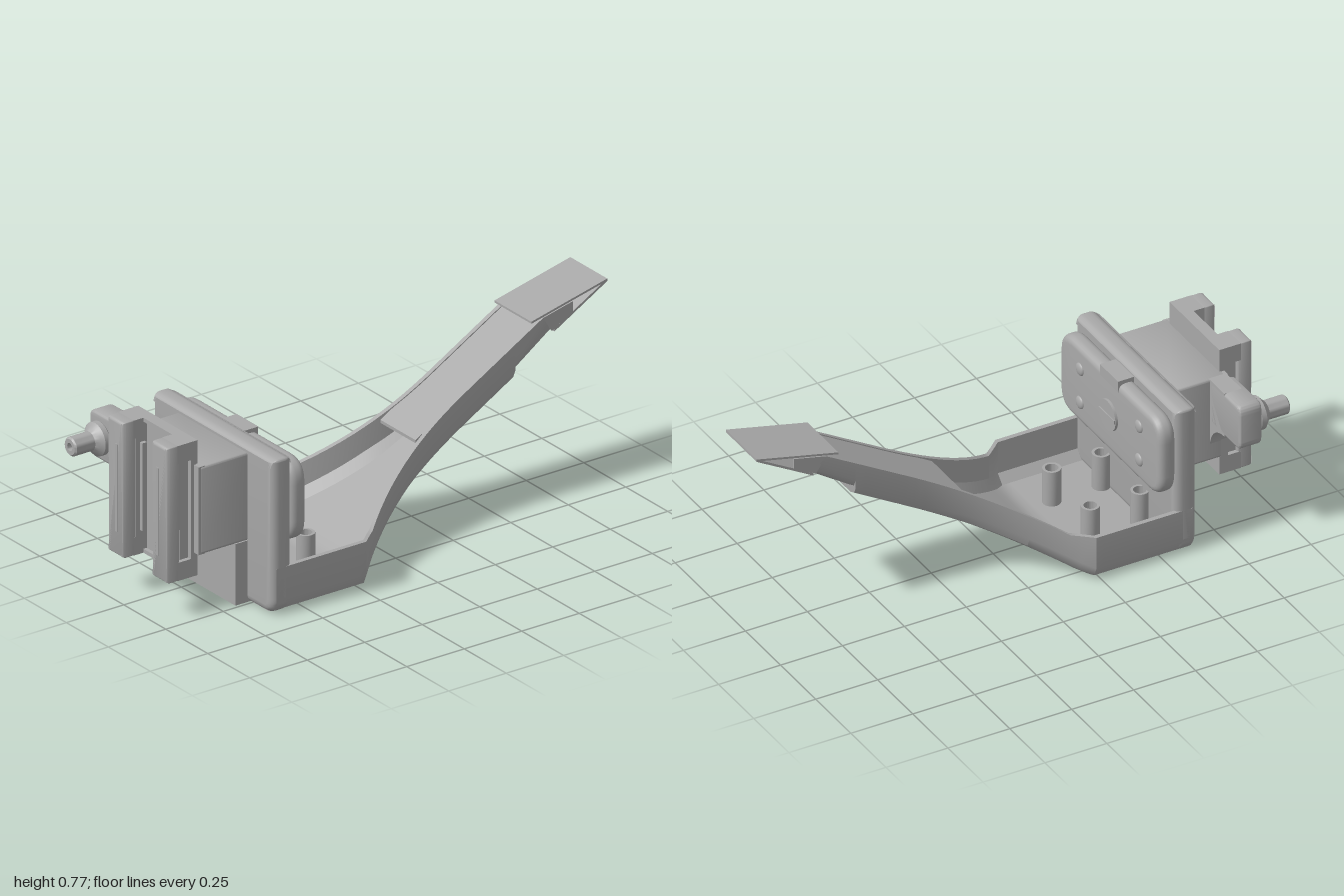
import * as THREE from 'three';
import { toCreasedNormals } from 'three/addons/utils/BufferGeometryUtils.js';

const CX = 0.03; // centre line of the tray and arm

export function createModel() {
  const model = new THREE.Group();
  const grey = new THREE.MeshStandardMaterial({ color: 0xa8a8a8, side: THREE.DoubleSide });
  grey.name = 'plain grey';

  function add(name, geo) {
    const m = new THREE.Mesh(geo, grey);
    m.name = name;
    model.add(m);
    return m;
  }
  function box(name, x0, x1, y0, y1, z0, z1) {
    const g = new THREE.BoxGeometry(x1 - x0, y1 - y0, z1 - z0);
    g.translate((x0 + x1) / 2, (y0 + y1) / 2, (z0 + z1) / 2);
    return add(name, g);
  }
  // rectangle with separate bottom and top corner radii
  function rounded(x0, x1, y0, y1, rb, rt) {
    const s = new THREE.Shape();
    s.moveTo(x0 + rb, y0);
    s.lineTo(x1 - rb, y0);
    s.quadraticCurveTo(x1, y0, x1, y0 + rb);
    s.lineTo(x1, y1 - rt);
    s.quadraticCurveTo(x1, y1, x1 - rt, y1);
    s.lineTo(x0 + rt, y1);
    s.quadraticCurveTo(x0, y1, x0, y1 - rt);
    s.lineTo(x0, y0 + rb);
    s.quadraticCurveTo(x0, y0, x0 + rb, y0);
    return s;
  }
  // shape in x-y pushed from z0 to z1, bevelled inside its outline
  function plate(name, shape, z0, z1, b = 0) {
    const g = new THREE.ExtrudeGeometry(shape, {
      depth: z1 - z0 - 2 * b, bevelEnabled: b > 0, bevelSize: b, bevelThickness: b,
      bevelOffset: -b, bevelSegments: 4, curveSegments: 10,
    });
    g.translate(0, 0, z0 + b);
    return add(name, toCreasedNormals(g, 0.6));
  }
  // side profile of [z, y] points pushed across x
  function sideProfile(name, pts, x0, x1) {
    const s = new THREE.Shape(pts.map(p => new THREE.Vector2(p[0], p[1])));
    const g = new THREE.ExtrudeGeometry(s, { depth: x1 - x0, bevelEnabled: false });
    g.rotateY(-Math.PI / 2);
    g.translate(x1, 0, 0);
    return add(name, g);
  }
  function lathe(name, pts, seg = 32) {
    const g = new THREE.LatheGeometry(pts.map(p => new THREE.Vector2(p[0], p[1])), seg);
    return add(name, toCreasedNormals(g, 0.6));
  }

  // Tray and arm: U-shaped sections lofted from the front wall to the arm end
  const width = z => 0.11 + 0.25 * Math.pow(Math.max(0, (z + 0.4) / 0.63), 2.3);
  const low = z => 0.585 * (0.22 - z);
  const high = z => 0.18 + 0.58 * (0.16 - z);
  const stations = [0.62, 0.6, 0.26, 0.23].map(z => [z, 0, z, 0.18, 0.36]);
  stations.push([0.19, low(0.19), 0.19, 0.18, width(0.19)]);
  for (let i = 0; i <= 19; i++) {
    const z = 0.16 - 0.04 * i;
    stations.push([z, low(z), z, high(z), width(z)]);
  }
  stations.push([-0.601, 0.51, -0.601, high(-0.601), 0.11]);
  stations.push([-0.78, 0.63, -0.72, 0.69, 0.11]);

  const pos = [], idx = [], n = 18;
  for (const [zb, yb, zt, yt, w] of stations) {
    const h = yt - yb, t = 0.018, f = 0.583 * w;
    const r = Math.min(0.05, w * 0.35, h * 0.6);
    const half = [[w, h], [w, r], [w - 0.3 * r, 0.3 * r], [w - r, 0], [f, 0]];
    const inner = [[w - t, h], [w - t, r], [w - r, t], [f, t]];
    const flip = p => [-p[0], p[1]];
    const loop = [
      ...half.map(flip), ...[...half].reverse(),
      ...inner, ...[...inner].reverse().map(flip),
    ];
    for (const [x, v] of loop) {
      const k = v / h;
      pos.push(CX + x, yb + v, zb + (zt - zb) * k);
    }
  }
  for (let i = 0; i < stations.length - 1; i++) {
    for (let j = 0; j < n; j++) {
      if (i === 1 && (j === 4 || j === 13)) continue; // opening for the hatch
      const a = i * n + j, b = i * n + (j + 1) % n;
      idx.push(a, b + n, b, a, a + n, b + n);
    }
  }
  const loft = new THREE.BufferGeometry();
  loft.setAttribute('position', new THREE.Float32BufferAttribute(pos, 3));
  loft.setIndex(idx);
  add('trayAndArm', toCreasedNormals(loft, 0.6));

  // Hatch plate in the tray floor, with screw holes and hollow posts
  const hatch = rounded(-0.18, 0.24, -0.6, -0.26, 0.001, 0.001);
  for (const x of [-0.11, 0.165]) {
    for (const z of [0.33, 0.53]) {
      const hole = new THREE.Path();
      hole.absarc(x, -z, 0.024, 0, Math.PI * 2, true);
      hatch.holes.push(hole);
      const post = lathe('screwPost', [[0.024, 0], [0.024, 0.16], [0.034, 0.16], [0.034, 0.005]], 20);
      post.position.set(x, 0, z);
    }
  }
  plate('floorHatch', hatch, 0, 0.018).rotation.x = -Math.PI / 2;

  // Arm cover and the thin wedge at its tip
  sideProfile('armCover', [[-0.17, 0.355], [-0.17, 0.367], [-0.72, 0.686], [-0.72, 0.674]], CX - 0.105, CX + 0.105);
  sideProfile('tipUnderside', [[-0.77, 0.625], [-1, 0.757], [-1, 0.767], [-0.77, 0.635]], CX - 0.11, CX + 0.11);
  sideProfile('tipTop', [[-0.67, 0.682], [-0.67, 0.69], [-1, 0.767], [-1, 0.759]], CX - 0.11, CX + 0.11);
  for (const s of [-1, 1]) {
    const x = CX + s * 0.107;
    sideProfile('tipCheek', [[-0.76, 0.63], [-0.72, 0.69], [-0.85, 0.72], [-0.85, 0.68]], x - 0.003, x + 0.003);
  }

  // Upright panel and the rounded pad behind it
  plate('uprightPanel', rounded(-0.33, 0.39, 0, 0.6, 0.06, 0.01), 0.55, 0.638, 0.03);
  plate('pad', rounded(-0.33, 0.39, 0.25, 0.57, 0.09, 0.09), 0.487, 0.555, 0.025);
  box('padClip', -0.035, 0.095, 0.54, 0.585, 0.485, 0.58);
  const knob = add('padKnob', new THREE.CylinderGeometry(0.06, 0.06, 0.014, 32));
  knob.rotation.x = Math.PI / 2;
  knob.position.set(CX, 0.41, 0.484);
  box('knobGrip', CX - 0.055, CX + 0.055, 0.402, 0.418, 0.473, 0.485);
  for (const x of [-0.18, 0.24]) {
    for (const y of [0.34, 0.48]) {
      const stud = add('padStud', new THREE.SphereGeometry(0.025, 16, 10));
      stud.scale.z = 0.4;
      stud.position.set(x, y, 0.487);
    }
  }

  // Lower front block and the housing above it
  box('lowerBlock', -0.177, 0.24, 0.002, 0.24, 0.6, 0.69);
  plate('housing', rounded(-0.177, 0.24, 0.24, 0.58, 0.01, 0.01), 0.62, 0.84, 0.006);

  // Side bracket with a curved gusset, carrying the nozzle
  plate('nozzleBlock', rounded(-0.393, -0.177, 0.4, 0.58, 0.035, 0.035), 0.775, 0.865, 0.012);
  const gusset = new THREE.Shape();
  gusset.moveTo(-0.28, 0.4);
  gusset.bezierCurveTo(-0.22, 0.4, -0.177, 0.36, -0.175, 0.29);
  gusset.lineTo(-0.15, 0.24);
  gusset.lineTo(-0.15, 0.58);
  gusset.lineTo(-0.28, 0.58);
  plate('gusset', gusset, 0.775, 0.845);
  const nozzle = lathe('nozzle', [
    [0.015, 0.02], [0.015, 0.14], [0.03, 0.14], [0.036, 0.134], [0.036, 0.055],
    [0.052, 0.04], [0.063, 0.03], [0.063, 0.01], [0.055, 0], [0, 0],
  ]);
  nozzle.rotation.x = Math.PI / 2;
  nozzle.position.set(-0.322, 0.49, 0.86);

  // Front channel: back web, end bars and two grooved rails
  box('channelWeb', -0.07, 0.13, 0.155, 0.655, 0.83, 0.86);
  for (const y of [0.147, 0.655]) box('channelEndBar', -0.055, 0.115, y, y + 0.015, 0.83, 0.875);
  for (const s of [-1, 1]) {
    const span = (a, b) => [CX + s * a, CX + s * b].sort((p, q) => p - q);
    const [o0, o1] = span(0.085, 0.177);
    plate('railFront', rounded(o0, o1, 0.147, 0.67, 0.004, 0.004), 0.905, 0.963, 0.012);
    box('railBack', o0, o1, 0.147, 0.67, 0.83, 0.86);
    box('railCore', ...span(0.085, 0.16), 0.2, 0.62, 0.855, 0.91);
    for (const y of [0.147, 0.6]) box('railEnd', o0, o1, y, y + 0.07, 0.855, 0.918);
    box('railLip', ...span(0.07, 0.09), 0.24, 0.58, 0.87, 0.89);
    box('railRib', ...span(0.115, 0.13), 0.24, 0.58, 0.955, 0.966);
    box('housingRib', ...span(0.18, 0.208), 0.24, 0.58, 0.82, 0.848);
  }
  return model;
}
